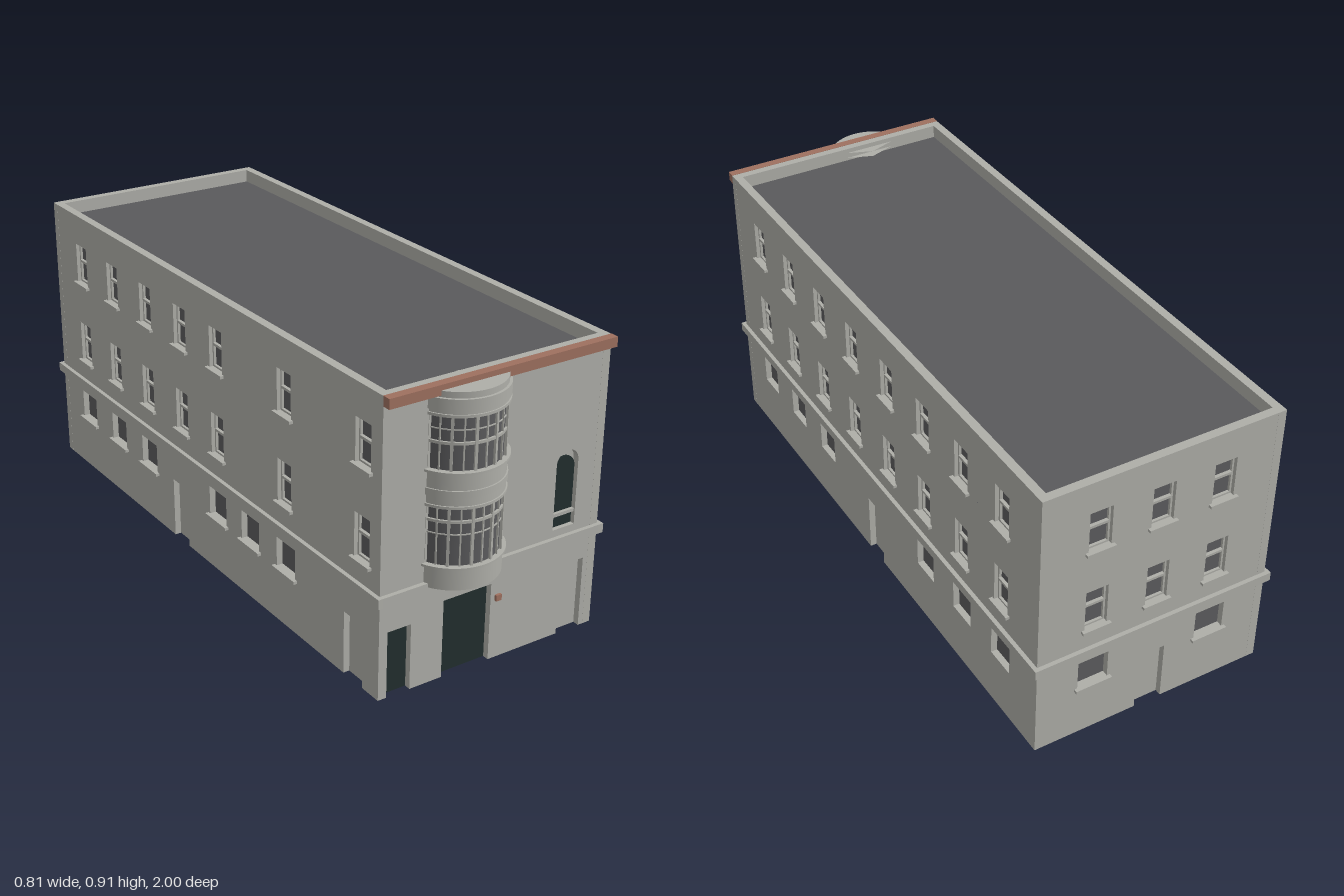
import * as THREE from 'three';

const mat = (name, color) => {
  const m = new THREE.MeshStandardMaterial({ color });
  m.name = name;
  return m;
};

export function createModel() {
  const stone = mat('pale stone', 0xaeaea8);
  const slate = mat('dark roof grey', 0x5a5a5c);
  const glass = mat('window grey', 0x5c5c5e);
  const green = mat('dark green', 0x222e2e);
  const brown = mat('terracotta', 0x9e705f);

  const model = new THREE.Group();
  model.name = 'building';
  const H = 0.913, T = 0.027; // wall height and thickness

  const add = (parent, name, geo, material) => {
    const m = new THREE.Mesh(geo, material);
    m.name = name;
    parent.add(m);
    return m;
  };
  // box given by its limits
  const box = (parent, name, x0, x1, y0, y1, z0, z1, material = stone) => {
    const m = add(parent, name, new THREE.BoxGeometry(x1 - x0, y1 - y0, z1 - z0), material);
    m.position.set((x0 + x1) / 2, (y0 + y1) / 2, (z0 + z1) / 2);
    return m;
  };
  const rectPath = (u, w, y0, y1) => new THREE.Path([
    new THREE.Vector2(u - w / 2, y0), new THREE.Vector2(u - w / 2, y1),
    new THREE.Vector2(u + w / 2, y1), new THREE.Vector2(u + w / 2, y0)]);
  const archShape = (u, w, y0, y1) => {
    const r = w / 2, s = new THREE.Shape();
    s.moveTo(u - r, y0);
    s.lineTo(u + r, y0);
    s.lineTo(u + r, y1 - r);
    s.absarc(u, y1 - r, r, 0, Math.PI, false);
    s.lineTo(u - r, y0);
    return s;
  };

  // One wall from corner a to corner b, left to right as seen from outside.
  // Local x runs along the wall and local z points outward.
  function wall(name, a, b, { doors = [], windows = [], arches = [] }) {
    const g = new THREE.Group();
    g.name = name;
    g.position.set(a[0], 0, a[1]);
    g.rotation.y = Math.atan2(a[1] - b[1], b[0] - a[0]);
    model.add(g);
    const L = Math.hypot(b[0] - a[0], b[1] - a[1]);

    // wall slab with door notches and window holes
    const s = new THREE.Shape();
    s.moveTo(0, 0);
    doors.sort((p, q) => p.u - q.u).forEach(({ u, w, h }) => {
      s.lineTo(u - w / 2, 0);
      s.lineTo(u - w / 2, h);
      s.lineTo(u + w / 2, h);
      s.lineTo(u + w / 2, 0);
    });
    s.lineTo(L, 0);
    s.lineTo(L, H);
    s.lineTo(0, H);
    windows.forEach(w => s.holes.push(rectPath(w.u, w.w, w.y0, w.y1)));
    arches.forEach(w => s.holes.push(archShape(w.u, w.w, w.y0, w.y1)));
    const slab = new THREE.ExtrudeGeometry(s, { depth: T, bevelEnabled: false, curveSegments: 10 });
    add(g, name + 'Slab', slab.translate(0, 0, -T), stone);

    // string course
    box(g, 'stringCourse', -0.013, L + 0.013, 0.30, 0.329, -0.005, 0.013);

    doors.forEach(({ u, w, h, material }) => {
      box(g, 'door', u - w / 2, u + w / 2, 0, h, -0.025, -0.02, material || stone);
      if (!material) box(g, 'doorBack', u - w / 2, u + w / 2, 0, h, -0.031, -0.026, slate);
    });

    windows.forEach(({ u, w, y0, y1, rail, sill }) => {
      const x0 = u - w / 2, x1 = u + w / 2, f = 0.006;
      box(g, 'windowGlass', x0, x1, y0, y1, -0.025, -0.02, glass);
      if (rail) {
        box(g, 'frameLeft', x0, x0 + f, y0, y1, -0.02, -0.012);
        box(g, 'frameRight', x1 - f, x1, y0, y1, -0.02, -0.012);
        box(g, 'frameTop', x0 + f, x1 - f, y1 - f, y1, -0.02, -0.012);
        box(g, 'frameBottom', x0 + f, x1 - f, y0, y0 + f, -0.02, -0.012);
        box(g, 'meetingRail', x0 + f, x1 - f, rail - 0.004, rail + 0.004, -0.02, -0.01);
      }
      if (sill) box(g, 'windowSill', x0 - 0.01, x1 + 0.01, y0 - 0.009, y0, -0.02, 0.012);
    });
    return g;
  }

  // window and door kinds
  const sashes = us => us.flatMap(u => [
    { u, w: 0.071, y0: 0.68, y1: 0.812, rail: 0.753, sill: true },
    { u, w: 0.071, y0: 0.398, y1: 0.534, rail: 0.474, sill: true }]);
  const low = (us, sill) => us.map(u => ({ u, w: 0.098, y0: 0.18, y1: 0.275, sill }));
  const sideDoor = u => ({ u, w: 0.09, h: 0.2 });

  // footprint corners
  const FR = [-0.367, 0.905], FL = [0.392, 0.905], BL = [0.37, -0.985], BR = [-0.393, -0.985];

  const leftU = z => 0.905 - z, backU = x => 0.37 - x, rightU = z => z + 0.985, frontU = x => x + 0.367;
  wall('leftWall', FL, BL, {
    doors: [sideDoor(leftU(-0.042))],
    windows: [...sashes([0.715, 0.5, 0.285, 0.07, -0.15, -0.365, -0.58, -0.795].map(leftU)),
      ...low([0.715, 0.5, 0.285, -0.365, -0.58, -0.795].map(leftU), false)],
  });
  wall('backWall', BL, BR, {
    doors: [sideDoor(backU(-0.01))],
    windows: [...sashes([0.187, -0.01, -0.207].map(backU)), ...low([0.187, -0.207].map(backU), true)],
  });
  wall('rightWall', BR, FR, {
    doors: [sideDoor(rightU(-0.17)), sideDoor(rightU(0.785))],
    windows: [...sashes([-0.796, -0.58, -0.36, -0.143, 0.07, 0.44, 0.82].map(rightU)),
      ...low([-0.796, -0.58, -0.37, 0.063, 0.25, 0.445].map(rightU), true)],
  });
  const au = frontU(0.264);
  const front = wall('frontWall', FR, FL, {
    doors: [{ u: frontU(-0.3), w: 0.078, h: 0.209, material: green },
      { u: frontU(-0.07), w: 0.165, h: 0.247, material: green },
      { u: frontU(0.306), w: 0.085, h: 0.227 }],
    arches: [{ u: au, w: 0.078, y0: 0.352, y1: 0.595 }],
  });

  // arched front window
  const plate = (w, y0, y1, z) => new THREE.ExtrudeGeometry(archShape(au, w, y0, y1),
    { depth: 0.005, bevelEnabled: false, curveSegments: 10 }).translate(0, 0, z);
  add(front, 'archBacking', plate(0.078, 0.352, 0.595, -0.025), stone);
  add(front, 'archPane', plate(0.077, 0.352, 0.571, -0.019), green);
  box(front, 'archRail', au - 0.039, au + 0.039, 0.39, 0.4, -0.015, -0.004);

  // front fascia and plaque
  box(front, 'fascia', 0, 0.759, 0.884, H + 0.001, -0.002, 0.025, brown);
  box(front, 'plaque', frontU(0.027), frontU(0.046), 0.189, 0.208, 0, 0.008, brown);

  // roof deck behind the parapet
  const deck = new THREE.Shape([[-0.355, 0.89], [0.378, 0.89], [0.356, -0.97], [-0.38, -0.97]]
    .map(([x, z]) => new THREE.Vector2(x, -z)));
  const deckGeo = new THREE.ExtrudeGeometry(deck, { depth: 0.01, bevelEnabled: false });
  add(model, 'roof', deckGeo.rotateX(-Math.PI / 2).translate(0, 0.861, 0), slate);

  // curved bay window
  const bay = new THREE.Group();
  bay.name = 'bayWindow';
  bay.position.set(-0.093, 0, 0.848);
  model.add(bay);
  const A = THREE.MathUtils.degToRad(70);
  const drum = (name, r, y0, y1, material = stone) => {
    const geo = new THREE.CylinderGeometry(r, r, y1 - y0, 20, 1, false, -A, 2 * A);
    add(bay, name, geo, material).position.y = (y0 + y1) / 2;
  };
  drum('bayBase', 0.143, 0.317, 0.385);
  drum('bayMiddle', 0.143, 0.568, 0.668);
  drum('bayMiddleBand', 0.147, 0.596, 0.617);
  drum('bayTop', 0.143, 0.83, 0.85);
  drum('bayCornice', 0.147, 0.845, 0.88);
  drum('bayCap', 0.139, 0.88, 0.898);

  for (const [y0, y1, rail, thin] of [[0.385, 0.568, 0.522, 0.483], [0.668, 0.833, 0.752, 0.79]]) {
    drum('bayGlass', 0.135, y0, y1, glass);
    drum('baySill', 0.152, y0 - 0.003, y0 + 0.004);
    drum('bayHead', 0.147, y1 - 0.005, y1 + 0.003);
    drum('bayRail', 0.141, rail - 0.004, rail + 0.004);
    drum('bayGlazingBar', 0.138, thin - 0.0015, thin + 0.0015);
    // five windows of two panes: wide mullions between, thin bars in the middle
    for (let i = 0; i <= 10; i++) {
      const t = THREE.MathUtils.degToRad(-67.5 + 13.5 * i), wide = i % 2 === 0;
      const bar = add(bay, wide ? 'bayMullion' : 'bayBar',
        new THREE.BoxGeometry(wide ? 0.008 : 0.004, y1 - y0, wide ? 0.012 : 0.008), stone);
      bar.position.set(0.136 * Math.sin(t), (y0 + y1) / 2, 0.136 * Math.cos(t));
      bar.rotation.y = t;
    }
  }
  return model;
}
